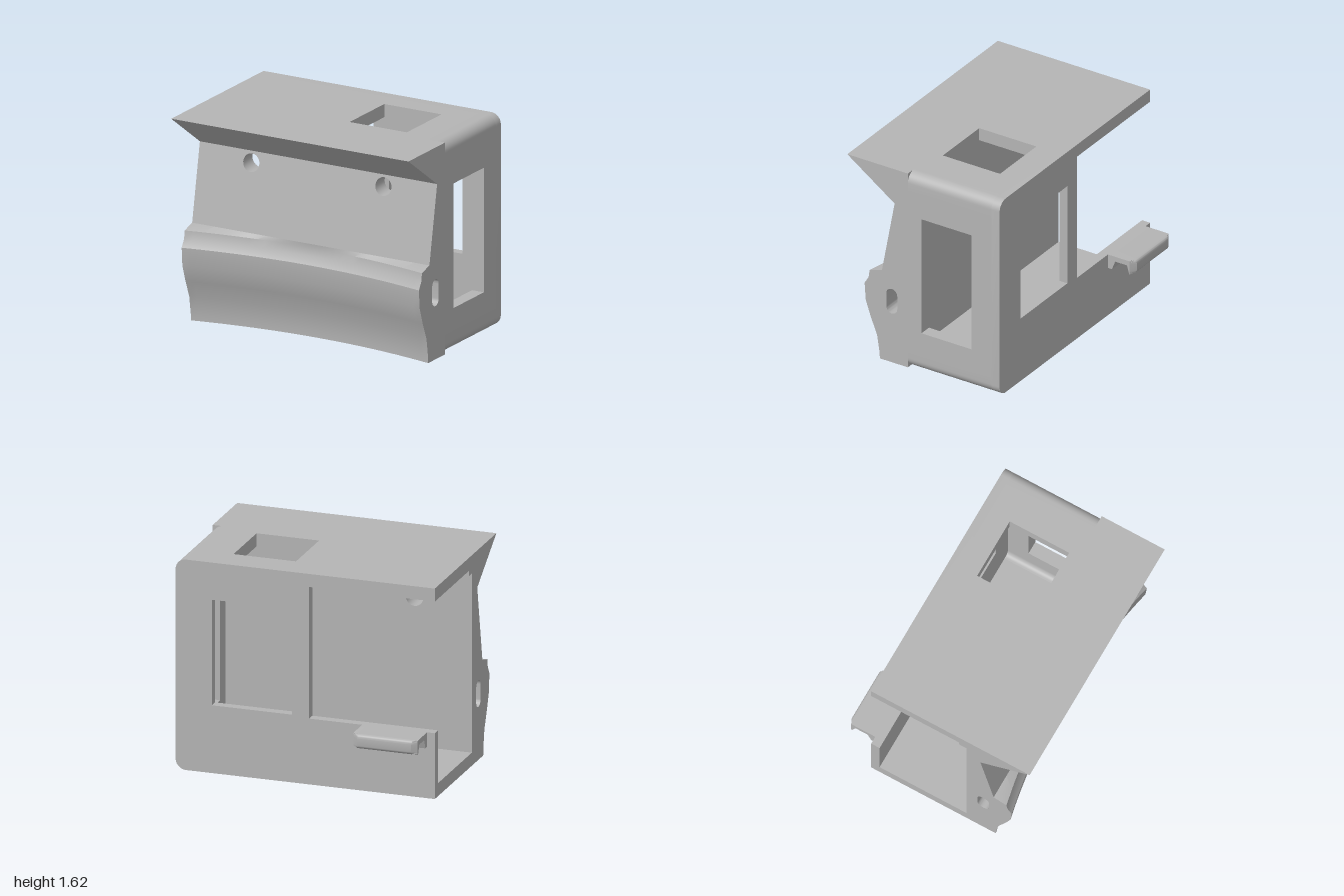
import * as THREE from 'three';
import { toCreasedNormals } from 'three/addons/utils/BufferGeometryUtils.js';

const H = 1.615;        // overall height
const BACK = -0.55;     // rear face
const INNER = 0.245;    // inside face of the front wall
const SHELL = 0.1;      // floor, roof and side thickness
const BACK_T = 0.07;    // rear wall thickness
const RECESS = 0.11;    // how far the lower front bows inward

const poly = (pts, Type = THREE.Shape) => new Type(pts.map(([x, y]) => new THREE.Vector2(x, y)));
const rect = (x0, x1, y0, y1, Type) => poly([[x0, y0], [x1, y0], [x1, y1], [x0, y1]], Type);

function extrude(shape, depth, steps = 1) {
  return new THREE.ExtrudeGeometry(shape, { depth, steps, bevelEnabled: false, curveSegments: 10 });
}

// Extrude a (z, y) section along x, from x0 to x1
function alongX(shape, x0, x1, steps) {
  return extrude(shape, x1 - x0, steps).rotateY(-Math.PI / 2).translate(x1, 0, 0);
}

function moveVertices(geometry, rule) {
  const p = geometry.attributes.position;
  const v = new THREE.Vector3();
  for (let i = 0; i < p.count; i++) {
    rule(v.fromBufferAttribute(p, i));
    p.setXYZ(i, v.x, v.y, v.z);
  }
  return geometry;
}

export function createModel() {
  const group = new THREE.Group();
  const grey = new THREE.MeshStandardMaterial({ color: 0xb4b4b4 });
  grey.name = 'plainGrey';

  function add(name, geometry, crease = 0.5) {
    const mesh = new THREE.Mesh(toCreasedNormals(geometry, crease), grey);
    mesh.name = name;
    group.add(mesh);
  }

  // Lower front: bulging profile with a slot along its length, bowed inward in plan
  const lower = poly([
    [INNER, 0], [0.488, 0], [0.49, 0.05], [0.512, 0.19], [0.565, 0.32], [0.61, 0.45],
    [0.62, 0.59], [0.585, 0.65], [0.577, 0.71], [0.47, 0.74], [INNER, 0.74],
  ]);
  const slot = new THREE.Path();
  slot.absarc(0.384, 0.563, 0.047, 0, Math.PI);
  slot.absarc(0.384, 0.453, 0.047, Math.PI, Math.PI * 2);
  slot.closePath();
  lower.holes.push(slot);
  add('curvedLowerFront', moveVertices(alongX(lower, -1, 1, 32), (v) => {
    if (v.z > 0.46 && v.y < 0.73) v.z -= RECESS * (1 - v.x * v.x);
  }), 0.4);

  // Upper front: leaning plate with two round holes
  const upper = rect(-1, 1, 0.74, 1.33);
  for (const side of [-1, 1]) {
    const hole = new THREE.Path();
    hole.absarc(side * 0.557, 1.243, 0.068, 0, Math.PI * 2);
    upper.holes.push(hole);
  }
  add('upperFront', moveVertices(extrude(upper, 1), (v) => {
    v.z = v.z > 0.5 ? 0.47 - (v.y - 0.74) * (0.11 / 0.59) : INNER;
  }));

  // Pointed roof overhang
  add('roofOverhang', alongX(poly([[INNER, 1.33], [0.36, 1.33], [0.77, H], [INNER, H]]), -1, 1));

  const z0 = BACK + BACK_T;
  const depth = INNER - z0;
  const r = 0.08;

  // Rounded long edges on the left side, floor and roof
  for (const [name, f] of [['lowerEdge', (y) => y], ['upperEdge', (y) => H - y]]) {
    const s = new THREE.Shape();
    s.moveTo(0.85, f(0));
    s.lineTo(1 - r, f(0));
    s.bezierCurveTo(1 - r * 0.45, f(0), 1, f(r * 0.45), 1, f(r));
    s.lineTo(1, f(0.15));
    s.lineTo(0.9, f(0.15));
    s.quadraticCurveTo(0.9, f(SHELL), 0.85, f(SHELL));
    s.closePath();
    add(name, extrude(s, depth).translate(0, 0, z0));
  }

  // Floor and roof, the roof with a square hatch
  add('floor', alongX(rect(z0, INNER, 0, SHELL), -1, 0.85));
  const roof = rect(-1, 0.85, -INNER, -z0);
  roof.holes.push(rect(0.155, 0.637, -0.178, 0.317, THREE.Path));
  add('roof', extrude(roof, SHELL).rotateX(-Math.PI / 2).translate(0, H - SHELL, 0));
  add('roofRidge', alongX(rect(0.18, INNER, 1.475, H - SHELL), -1, 0.9));

  // Side wall with its tall window
  const side = rect(z0, INNER, 0.15, H - 0.15);
  side.holes.push(rect(-0.308, 0.127, 0.32, 1.27, THREE.Path));
  add('sideWall', alongX(side, 0.9, 1));

  // Rear wall: one window and a large opening that runs out to the right
  const rear = new THREE.Shape();
  rear.moveTo(-1, 0);
  rear.lineTo(1 - r, 0);
  rear.bezierCurveTo(1 - r * 0.45, 0, 1, r * 0.45, 1, r);
  rear.lineTo(1, H - r);
  rear.bezierCurveTo(1, H - r * 0.45, 1 - r * 0.45, H, 1 - r, H);
  for (const [x, y] of [[-1, H], [-1, H - SHELL], [-0.03, H - SHELL], [-0.03, 0.505], [-1, 0.505]]) rear.lineTo(x, y);
  rear.closePath();
  rear.holes.push(rect(0.1, 0.72, 0.52, 1.33, THREE.Path));
  add('rearWall', extrude(rear, BACK_T).translate(0, 0, BACK));

  // Hooked ledge on the rear, with a wedge beneath and trimmed corners
  const hook = new THREE.Shape();
  hook.moveTo(BACK, 0.505);
  hook.lineTo(-0.745, 0.505);
  hook.quadraticCurveTo(-0.773, 0.505, -0.773, 0.475);
  hook.lineTo(-0.773, 0.425);
  hook.quadraticCurveTo(-0.77, 0.4, -0.742, 0.393);
  for (const [z, y] of [[-0.715, 0.465], [-0.612, 0.465], [-0.585, 0.393], [BACK, 0.393]]) hook.lineTo(z, y);
  hook.closePath();
  add('rearHook', moveVertices(alongX(hook, -0.94, -0.44, 12), (v) => {
    v.z = Math.max(v.z, -0.735 - (-0.44 - v.x), -0.75 - (v.x + 0.94));
  }));

  return group;
}
